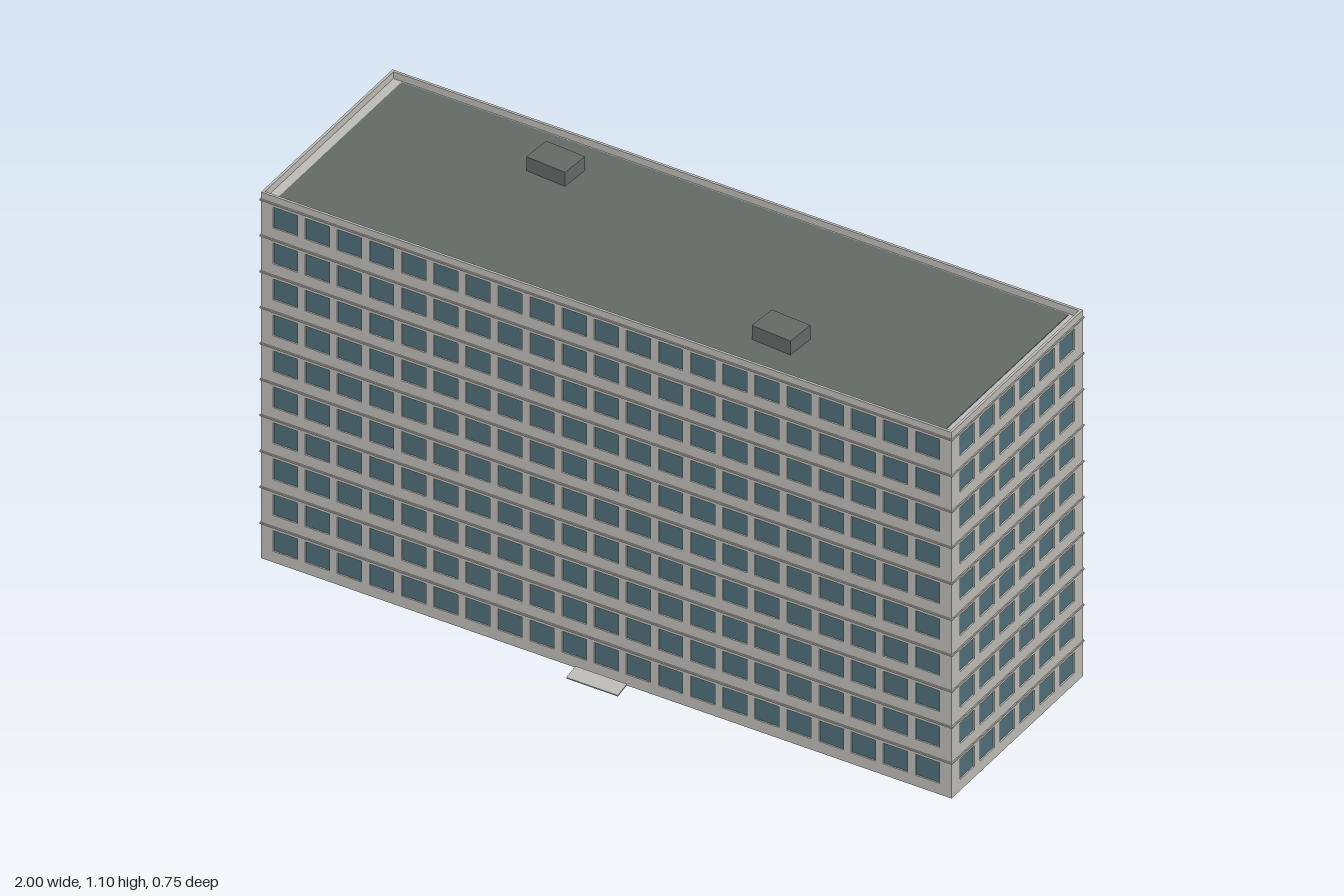
import * as THREE from 'three';

const L = 1.956, W = 0.609;            // wall footprint
const STOREYS = 10, PITCH = 0.1057;    // storey count and height
const BASE = 0.004, EAVES = 1.053, ROOF = 1.057, TOP = 1.077;
const RECESS = 0.004;                  // window depth
const LIP = 0.003;                     // ledge overhang

const mat = (name, color) => {
  const m = new THREE.MeshStandardMaterial({ color });
  m.name = name;
  return m;
};

function rect(path, x0, y0, x1, y1) {
  path.moveTo(x0, y0);
  path.lineTo(x1, y0);
  path.lineTo(x1, y1);
  path.lineTo(x0, y1);
  path.closePath();
  return path;
}

// Thin wall skin pierced by a grid of window openings
function facadeGeometry(length, columns, spacing, width) {
  const shape = rect(new THREE.Shape(), -length / 2, BASE, length / 2, EAVES);
  for (let r = 0; r < STOREYS; r++) {
    for (let c = 0; c < columns; c++) {
      const x = (c - (columns - 1) / 2) * spacing;
      const y = 0.032 + r * PITCH;
      shape.holes.push(rect(new THREE.Path(), x - width / 2, y, x + width / 2, y + 0.061));
    }
  }
  return new THREE.ExtrudeGeometry(shape, { depth: RECESS, bevelEnabled: false });
}

export function createModel() {
  const wall = mat('concrete', 0xbcbab4);
  const glass = mat('window glass', 0x4f6d78);
  const roofing = mat('roofing', 0x626a66);

  const model = new THREE.Group();
  model.name = 'apartmentBlock';
  const block = new THREE.Group();
  block.name = 'block';
  block.rotation.y = THREE.MathUtils.degToRad(4);
  model.add(block);

  const add = (parent, name, geometry, material, x = 0, y = 0, z = 0) => {
    const mesh = new THREE.Mesh(geometry, material);
    mesh.name = name;
    mesh.position.set(x, y, z);
    parent.add(mesh);
    return mesh;
  };
  const box = (parent, name, w, y0, y1, d, material, x = 0, z = 0) =>
    add(parent, name, new THREE.BoxGeometry(w, y1 - y0, d), material, x, (y0 + y1) / 2, z);

  // Floor slab and glazed core behind the wall openings
  box(block, 'baseSlab', L, 0, BASE, W, wall);
  box(block, 'windowGlass', L - 2 * RECESS, BASE, EAVES, W - 2 * RECESS, glass);

  // Long and short facades, one on each side
  const longSide = facadeGeometry(L, 21, 0.091, 0.069);
  const shortSide = facadeGeometry(W - 2 * RECESS, 6, 0.0925, 0.067);
  [['frontWall', longSide, 0, W], ['leftWall', shortSide, 1, L],
    ['backWall', longSide, 2, W], ['rightWall', shortSide, 3, L]].forEach(([name, geo, turn, size]) => {
    const angle = turn * Math.PI / 2, r = size / 2 - RECESS;
    const mesh = add(block, name, geo, wall, Math.sin(angle) * r, 0, Math.cos(angle) * r);
    mesh.rotation.y = angle;
  });

  // Thin ledges at every floor; the last one carries the roof
  for (let k = 1; k <= STOREYS; k++) {
    box(block, 'floorLedge', L + 2 * LIP, k * PITCH - 0.004, k * PITCH, W + 2 * LIP, wall);
  }

  // Parapet ring and sunken roof deck
  const ring = rect(new THREE.Shape(), -L / 2, -W / 2, L / 2, W / 2);
  ring.holes.push(rect(new THREE.Path(), -L / 2 + 0.007, -W / 2 + 0.007, L / 2 - 0.007, W / 2 - 0.007));
  const parapet = add(block, 'parapet',
    new THREE.ExtrudeGeometry(ring, { depth: TOP - ROOF, bevelEnabled: false }), wall, 0, ROOF, 0);
  parapet.rotation.x = -Math.PI / 2;
  box(block, 'roofDeck', L - 0.066, ROOF, ROOF + 0.002, W - 0.024, roofing);

  // Sloping entrance slab
  const ramp = box(block, 'entranceRamp', 0.146, 0.005, 0.009, 0.043, wall, -0.008, 0.336);
  ramp.rotation.x = 0.2;

  // Rooftop housings, square to the axes
  [[-0.442, -0.136], [0.417, 0.131]].forEach(([x, z]) =>
    box(model, 'roofHousing', 0.115, ROOF, 1.1, 0.083, roofing, x, z));

  return model;
}
